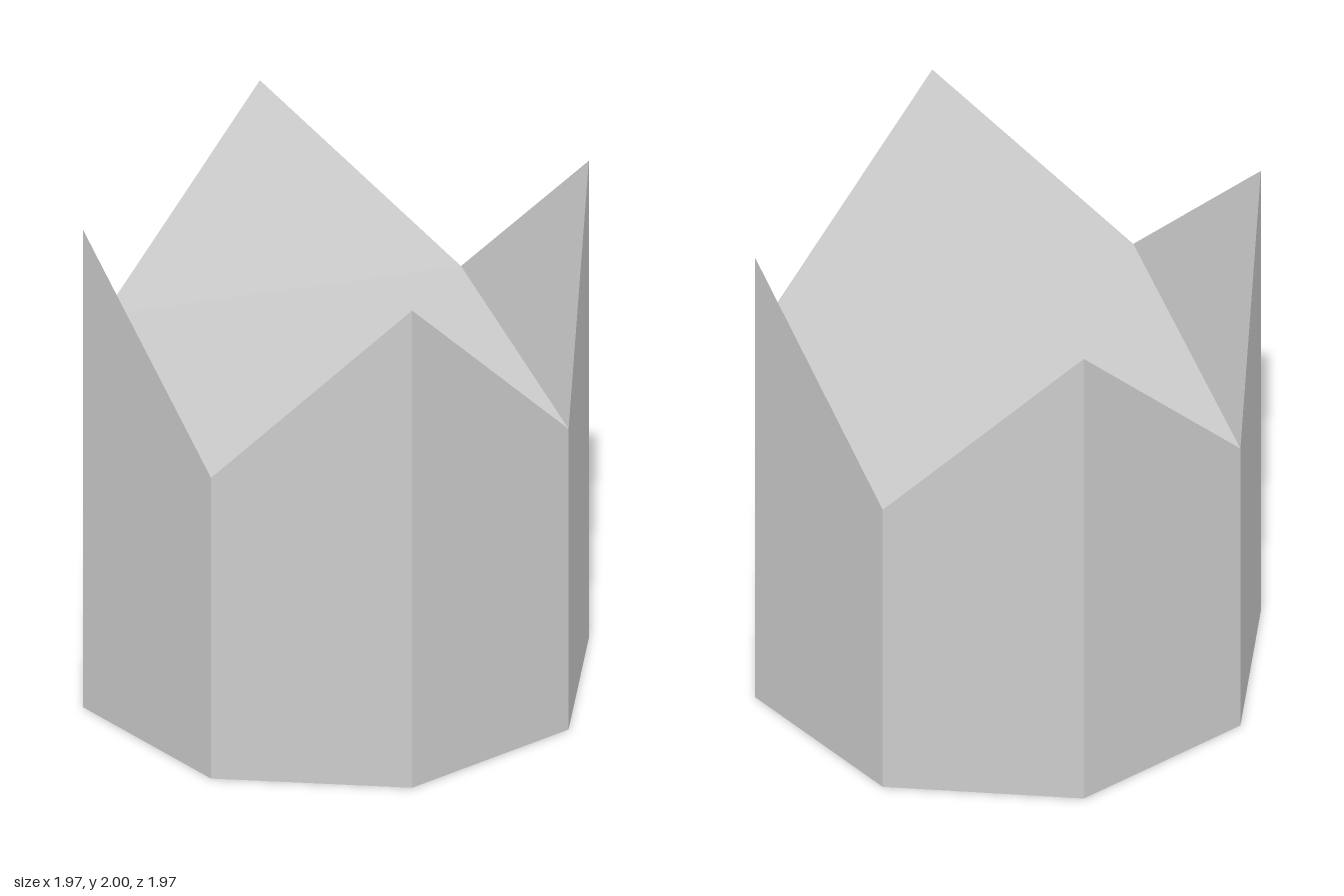
import * as THREE from 'three';

const SIDES = 8, RADIUS = 0.985, VALLEY = 1.26, PEAK = 2;

// Corner of the octagon, counted anticlockwise as seen from above
function corner(i, y) {
  const a = (i % SIDES) * Math.PI * 2 / SIDES;
  return [RADIUS * Math.sin(a), y, RADIUS * Math.cos(a)];
}

// Upper rim alternates between valleys and peaks
const rim = i => corner(i, i % 2 ? PEAK : VALLEY);
const foot = i => corner(i, 0);

// Flat-shaded mesh from convex polygons, each split as a fan
function facets(name, polygons) {
  const points = [];
  for (const p of polygons)
    for (let k = 1; k < p.length - 1; k++) points.push(...p[0], ...p[k], ...p[k + 1]);
  const geometry = new THREE.BufferGeometry();
  geometry.setAttribute('position', new THREE.Float32BufferAttribute(points, 3));
  geometry.computeVertexNormals();
  const material = new THREE.MeshStandardMaterial({ color: 0xcccccc, flatShading: true });
  const mesh = new THREE.Mesh(geometry, material);
  mesh.name = name;
  return mesh;
}

export function createModel() {
  const group = new THREE.Group();
  group.name = 'crownPrism';
  const all = [...Array(SIDES).keys()];
  const valleys = all.filter(i => i % 2 === 0);

  // Eight upright walls
  group.add(facets('walls', all.map(i => [foot(i), foot(i + 1), rim(i + 1), rim(i)])));

  // Octagonal underside
  group.add(facets('base', [all.map(foot).reverse()]));

  // Square top joining the valleys
  group.add(facets('topSquare', [valleys.map(rim)]));

  // Sloping inner faces rising to the four peaks
  group.add(facets('peakSlopes', valleys.map(i => [rim(i), rim(i + 1), rim(i + 2)])));

  return group;
}
